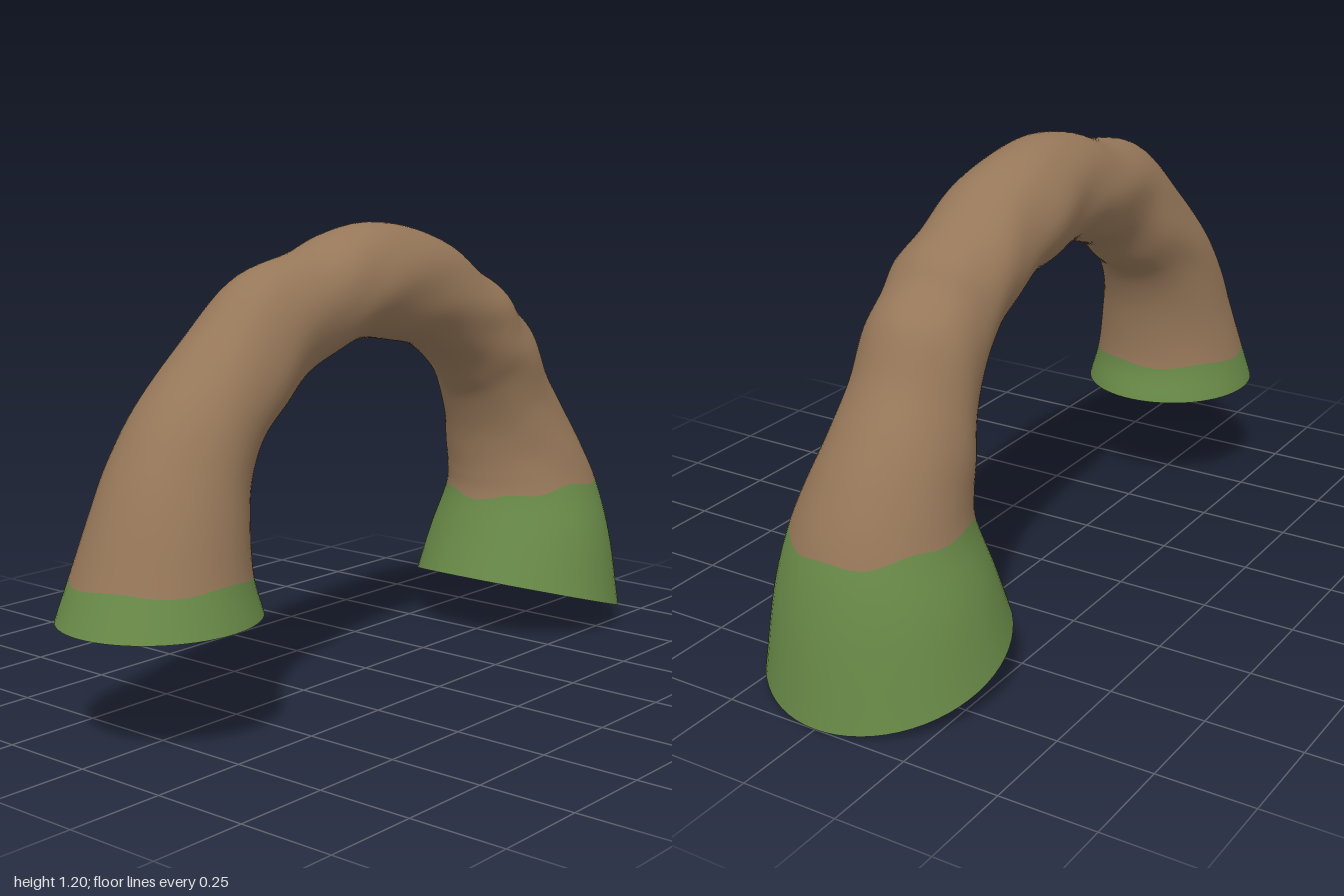
import * as THREE from 'three';

// Cross-sections along the arch: outer x, y, inner x, y, half depth, depth offset
const SECTIONS = [
  [-1, 0.31, -0.5, 0.31, 0.24, 0], [-0.96, 0.41, -0.525, 0.4, 0.215, 0],
  [-0.9, 0.56, -0.525, 0.5, 0.19, 0], [-0.84, 0.68, -0.505, 0.61, 0.172, -0.005],
  [-0.75, 0.81, -0.46, 0.7, 0.16, -0.005], [-0.6, 0.96, -0.38, 0.76, 0.148, 0],
  [-0.45, 1.09, -0.29, 0.83, 0.134, 0.005], [-0.25, 1.14, -0.17, 0.875, 0.138, 0],
  [-0.13, 1.18, -0.08, 0.9, 0.14, 0], [0, 1.2, 0, 0.9, 0.143, 0],
  [0.15, 1.185, 0.1, 0.885, 0.15, -0.005], [0.29, 1.14, 0.2, 0.865, 0.146, 0],
  [0.4, 1.07, 0.28, 0.83, 0.15, 0], [0.5, 1.02, 0.34, 0.79, 0.152, 0],
  [0.56, 0.96, 0.39, 0.74, 0.15, 0], [0.65, 0.89, 0.43, 0.69, 0.155, -0.005],
  [0.72, 0.77, 0.468, 0.6, 0.16, -0.01], [0.8, 0.66, 0.485, 0.52, 0.178, -0.01],
  [0.87, 0.55, 0.49, 0.46, 0.196, -0.003], [0.93, 0.42, 0.485, 0.4, 0.22, 0.003],
  [0.97, 0.25, 0.45, 0.29, 0.265, 0.002], [1, 0.005, 0.41, 0.18, 0.302, 0],
];
const curve = (pick) => new THREE.CatmullRomCurve3(
  SECTIONS.map((s) => new THREE.Vector3(...pick(s))), false, 'catmullrom', 0.5);
const outer = curve((s) => [s[0], s[1], 0]);
const inner = curve((s) => [s[2], s[3], 0]);
const depth = curve((s) => [s[4], s[5], 0]);
const AROUND = 64;

// Point on the arch surface; angle 0 is the outside of the bend
function surface(t, a) {
  const o = outer.getPoint(t), i = inner.getPoint(t), d = depth.getPoint(t);
  const mid = o.clone().add(i).multiplyScalar(0.5);
  const half = o.sub(i).multiplyScalar(0.5);
  // gentle lumps on the flanks, fading at the open ends
  const fade = Math.sin(Math.PI * t) * Math.sin(a) ** 2;
  const lump = 1 + 0.03 * fade * Math.sin(34 * t + 2 * a) * Math.cos(3 * a + 11 * t);
  const p = mid.addScaledVector(half, Math.cos(a) * lump);
  p.z = d.y + Math.sin(a) * d.x * lump;
  return p;
}

function normal(t, a) {
  const e = 0.002;
  const t0 = Math.max(0, t - e), t1 = Math.min(1, t + e);
  const da = surface(t, a + e).sub(surface(t, a - e));
  const dt = surface(t1, a).sub(surface(t0, a));
  return da.cross(dt).normalize();
}

// Finds where the surface crosses a given height between two path positions
function crossing(a, height, low, high) {
  for (let k = 0; k < 30; k++) {
    const m = (low + high) / 2;
    if (surface(m, a).y < height) low = m; else high = m;
  }
  return low;
}

// Tube section whose ends follow start(angle) and end(angle)
function shell(name, start, end, rows, material) {
  const pos = [], nor = [], index = [];
  for (let j = 0; j <= AROUND; j++) {
    const a = (j / AROUND) * Math.PI * 2;
    const t0 = start(a), t1 = end(a);
    for (let i = 0; i <= rows; i++) {
      const t = t0 + (t1 - t0) * (i / rows);
      pos.push(...surface(t, a).toArray());
      nor.push(...normal(t, a).toArray());
      if (j < AROUND && i < rows) {
        const p = j * (rows + 1) + i, q = p + rows + 1;
        index.push(p, q, p + 1, q, q + 1, p + 1);
      }
    }
  }
  const g = new THREE.BufferGeometry();
  g.setAttribute('position', new THREE.Float32BufferAttribute(pos, 3));
  g.setAttribute('normal', new THREE.Float32BufferAttribute(nor, 3));
  g.setIndex(index);
  const mesh = new THREE.Mesh(g, material);
  mesh.name = name;
  return mesh;
}

export function createModel() {
  const earth = new THREE.MeshStandardMaterial({ color: 0x967759, side: THREE.DoubleSide });
  earth.name = 'brown earth';
  const grass = new THREE.MeshStandardMaterial({ color: 0x698a48, side: THREE.DoubleSide });
  grass.name = 'green grass';

  // Wavy colour borders on the two legs
  const rightEdge = (a) => crossing(a, 0.41 + 0.005 * Math.sin(5 * a), 0, 0.2);
  const leftEdge = (a) => crossing(
    a, 0.415 - 0.016 * Math.cos(2 * a) + 0.006 * Math.cos(7 * a), 1, 0.75);

  const group = new THREE.Group();
  group.name = 'arch';
  group.add(
    shell('rightFoot', () => 0, rightEdge, 6, grass),
    shell('archBody', rightEdge, leftEdge, 110, earth),
    shell('leftFoot', leftEdge, () => 1, 14, grass),
  );
  return group;
}
